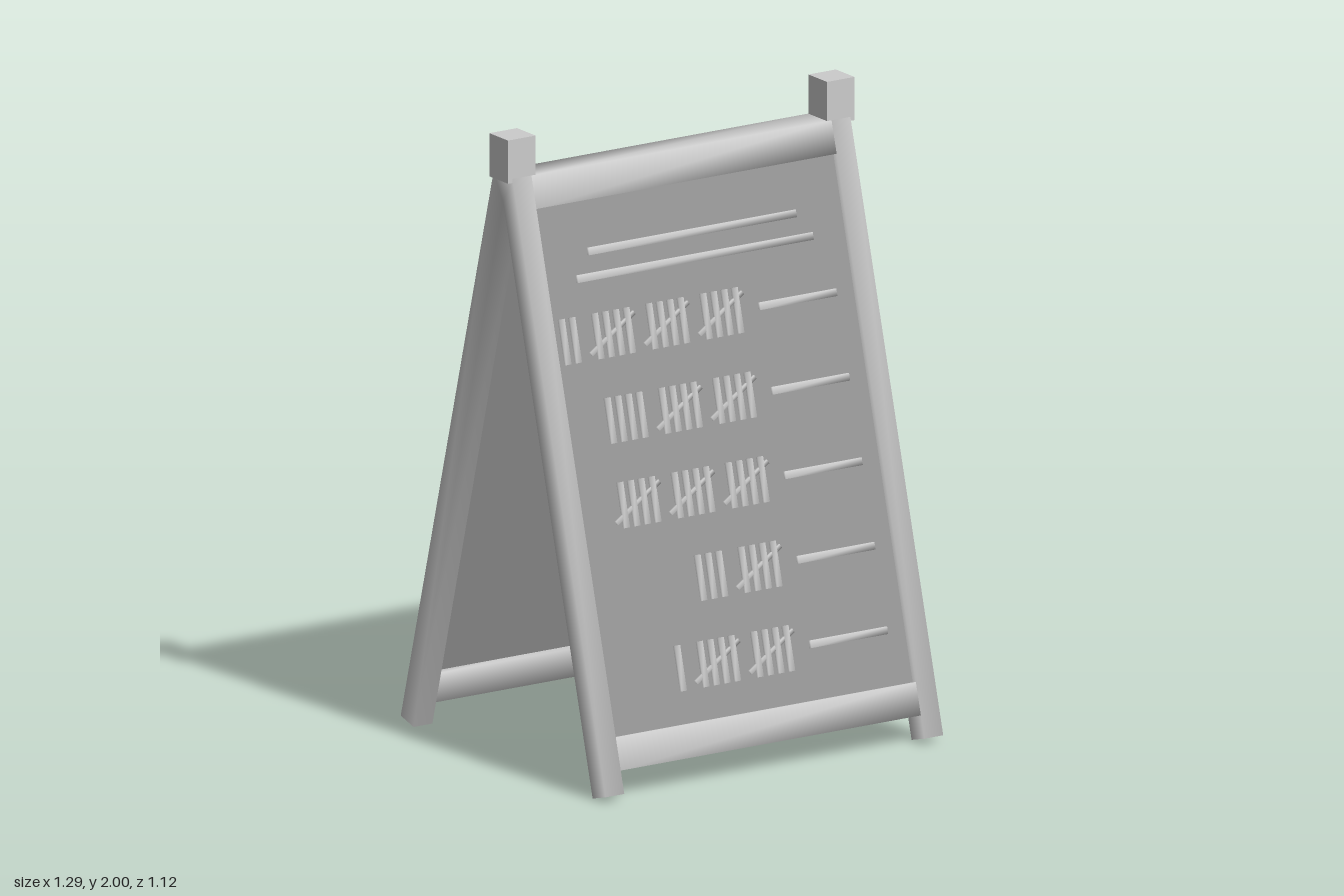
import * as THREE from 'three';
import { mergeVertices } from 'three/addons/utils/BufferGeometryUtils.js';

const SLOPE = 0.274;                 // lean of each side, dz / dy
const TILT = Math.atan(SLOPE);
const THICK = 0.07;                  // frame thickness
const RECESS = 0.018;                // depth of the boards behind the frame faces
const INNER_W = 1.114;               // clear width between the legs

const frameGrey = new THREE.MeshStandardMaterial({ color: 0xcccccc });
const boardGrey = new THREE.MeshStandardMaterial({ color: 0x979797 });
const chalk = new THREE.MeshStandardMaterial({ color: 0xe2e2e2 });

function addMesh(parent, name, geometry, material, x, y, z) {
  const mesh = new THREE.Mesh(geometry, material);
  mesh.name = name;
  mesh.position.set(x, y, z);
  parent.add(mesh);
  return mesh;
}

// Welds the corners so the shading runs softly over the edges
function soften(geometry) {
  geometry.deleteAttribute('normal');
  geometry.deleteAttribute('uv');
  const welded = mergeVertices(geometry, 1e-4);
  welded.computeVertexNormals();
  return welded;
}

const softBox = (w, h, d) => soften(new THREE.BoxGeometry(w, h, d));

// Extrudes a (z, y) profile across x, centred on x = 0
function sideProfile(points, width) {
  const shape = new THREE.Shape(points.map(([z, y]) => new THREE.Vector2(z, y)));
  const geometry = new THREE.ExtrudeGeometry(shape, { depth: width, bevelEnabled: false });
  return soften(geometry.translate(0, 0, -width / 2).rotateY(-Math.PI / 2));
}

// Distance along the leaning side for a point at height y and local depth z
const along = (y, z = 0) => (y - 0.02 - z * Math.sin(TILT)) / Math.cos(TILT);

// One leaning side: recessed board and bottom rail, origin at the outer foot edge
function makeSide(name) {
  const side = new THREE.Group();
  side.name = name;
  side.position.set(0, 0.02, 0.56);
  side.rotation.x = -TILT;
  const low = along(0.09), railTop = along(0.19), high = along(1.775);
  addMesh(side, 'bottomRail', softBox(INNER_W, railTop - low, THICK), frameGrey,
    0, (low + railTop) / 2, -THICK / 2);
  const board = new THREE.BoxGeometry(INNER_W, high - railTop + 0.02, THICK - 2 * RECESS);
  addMesh(side, 'board', board, boardGrey, 0, (high + railTop) / 2, -THICK / 2);
  return side;
}

// Raised title lines, tally strokes and row lines on the front board
function makeTally() {
  const tally = new THREE.Group();
  tally.name = 'tallyMarks';
  const depth = 0.016, z = -RECESS + 0.002;
  const mark = (name, w, h, x, y) =>
    addMesh(tally, name, softBox(w, h, depth), chalk, x, along(y, z), z);

  mark('titleLine', 0.77, 0.024, 0, 1.618);
  mark('titleLine', 0.874, 0.024, -0.003, 1.543);

  const step = 0.039;
  [17, 14, 15, 8, 11].forEach((count, row) => {
    const y = 1.366 - row * 0.2535;
    mark('rowLine', 0.285, 0.024, 0.346, y);
    // Groups of five run from right to left, the incomplete one last
    for (let g = 0, left = count; left > 0; g++, left -= 5) {
      const x0 = 0.006 - g * 0.201;
      const strokes = Math.min(left, 4);
      for (let i = 4 - strokes; i < 4; i++) mark('stroke', 0.02, 0.142, x0 + i * step, y);
      if (left >= 5) {
        const slash = mark('slash', 0.205, 0.014, x0 + 1.4 * step, y);
        slash.position.z -= 0.001;
        slash.rotation.z = 0.53;
      }
    }
  });
  return tally;
}

export function createModel() {
  const model = new THREE.Group();
  model.name = 'foldingBoard';

  // A-shaped end frames with a square post on top
  const legs = sideProfile([
    [0.56, 0.02], [0.052, 1.875], [-0.052, 1.875], [-0.56, 0.02],
    [-0.49, 0], [0, 1.79], [0.49, 0],
  ], 0.07);
  const post = new THREE.BoxGeometry(0.102, 0.138, 0.102);
  for (const [hand, s] of [['left', 1], ['right', -1]]) {
    addMesh(model, hand + 'Legs', legs, frameGrey, s * 0.592, 0, 0);
    addMesh(model, hand + 'Post', post, frameGrey, s * 0.592, 1.931, 0);
  }

  // Top rails of both sides, joined at the ridge
  const topRail = sideProfile([
    [0.08, 1.775], [0.052, 1.875], [-0.052, 1.875], [-0.08, 1.775],
    [-0.0105, 1.756], [0, 1.79], [0.0105, 1.756],
  ], INNER_W);
  addMesh(model, 'topRail', topRail, frameGrey, 0, 0, 0);

  // Front side with tally marks, plain back side
  const front = makeSide('frontSide');
  front.add(makeTally());
  const back = new THREE.Group();
  back.name = 'backHalf';
  back.rotation.y = Math.PI;
  back.add(makeSide('backSide'));
  model.add(front, back);

  return model;
}
